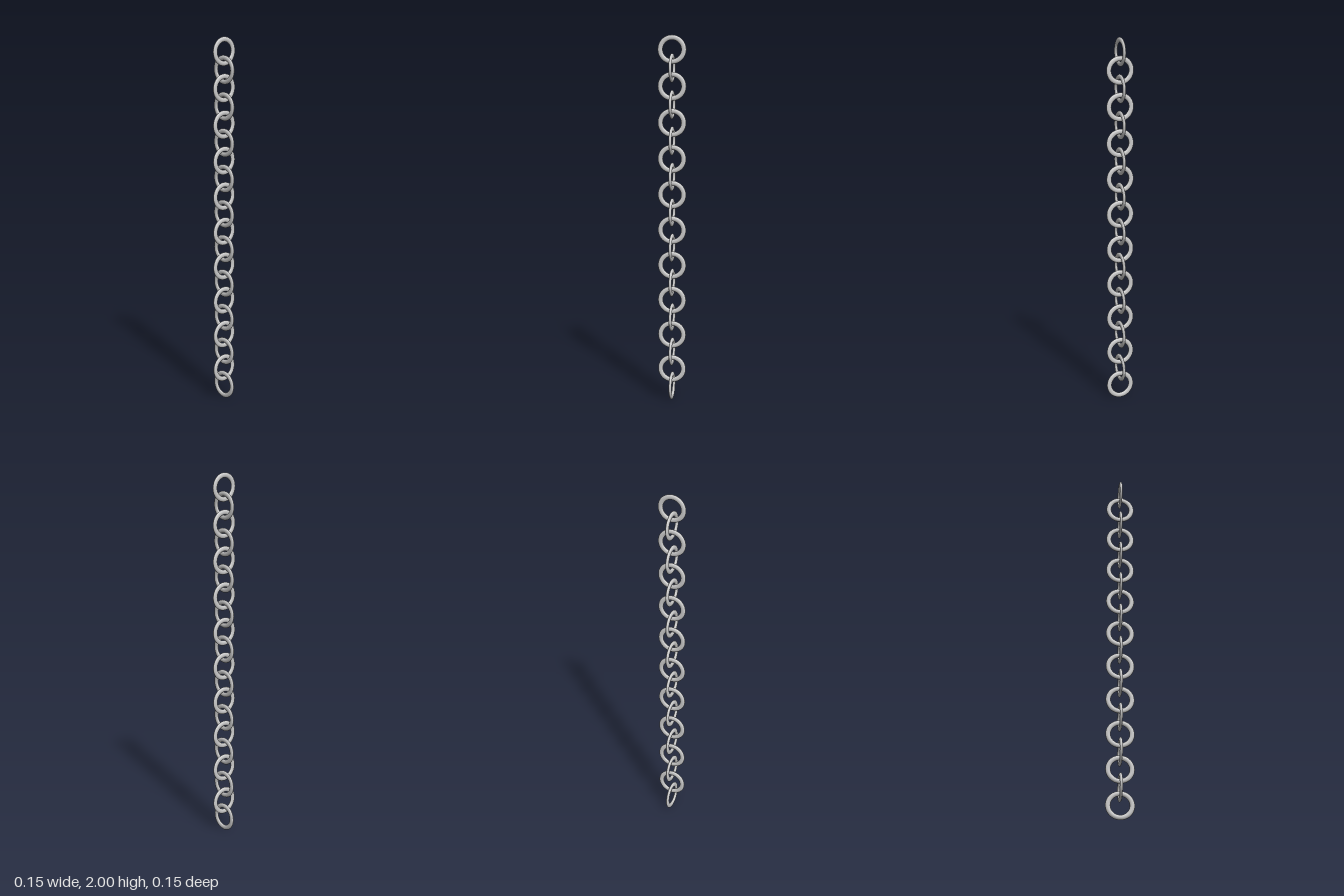
import * as THREE from 'three';

const LINKS = 20;
const OUTER = 0.077; // outer radius of a link
const TUBE = 0.0135; // half the radial width of its band
const FLATTEN = 0.6; // band thickness relative to its width

export function createModel() {
  const chain = new THREE.Group();
  chain.name = 'chain';
  const material = new THREE.MeshStandardMaterial({ color: 0xcccccc });

  // Round link with a flattened, oval cross-section
  const linkGeometry = new THREE.TorusGeometry(OUTER - TUBE, TUBE, 16, 48);
  linkGeometry.scale(1, 1, FLATTEN);

  // Interlocked links, each turned a quarter from the one below
  const spacing = (2 - 2 * OUTER) / (LINKS - 1);
  for (let i = 0; i < LINKS; i++) {
    const link = new THREE.Mesh(linkGeometry, material);
    link.name = `link${i + 1}`;
    link.position.y = OUTER + i * spacing;
    link.rotation.y = i % 2 === 0 ? Math.PI / 2 : 0;
    chain.add(link);
  }
  return chain;
}
